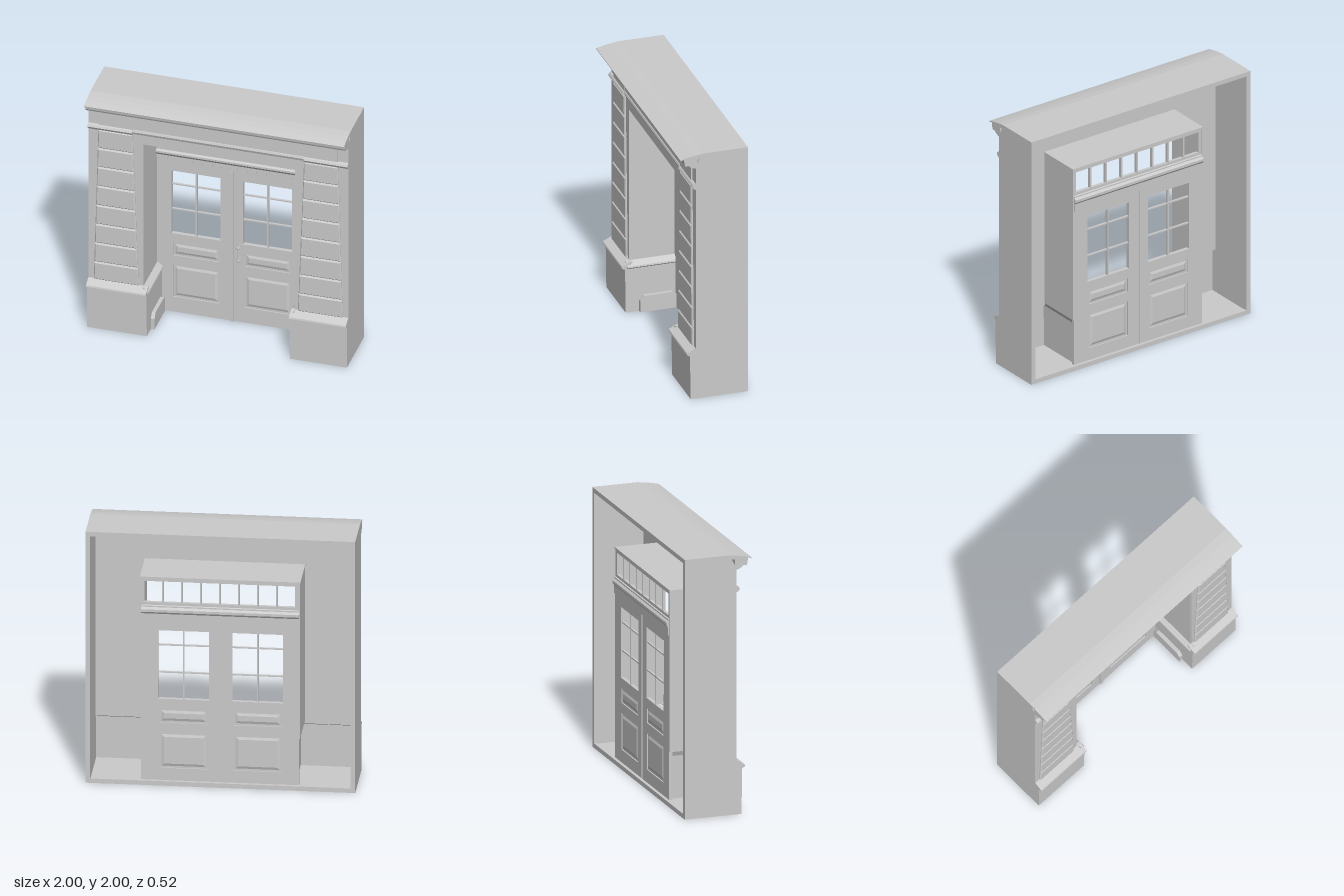
import * as THREE from 'three';

const mat = new THREE.MeshStandardMaterial({ color: 0xcccccc, side: THREE.DoubleSide });
const CX = 0.005; // centre of the doorway

function add(group, name, geo) {
  const mesh = new THREE.Mesh(geo, mat);
  mesh.name = name;
  group.add(mesh);
  return mesh;
}

// box given by its limits
function box(group, name, x0, x1, y0, y1, z0, z1) {
  const geo = new THREE.BoxGeometry(Math.abs(x1 - x0), y1 - y0, z1 - z0);
  return add(group, name, geo.translate((x0 + x1) / 2, (y0 + y1) / 2, (z0 + z1) / 2));
}

const polygon = pts => new THREE.Shape(pts.map(p => new THREE.Vector2(p[0], p[1])));
const rect = (x0, x1, y0, y1) => [[x0, y0], [x1, y0], [x1, y1], [x0, y1]];

// flat plate in the xy plane with holes
function plate(group, name, outline, holes, z0, z1) {
  const shape = polygon(outline);
  holes.forEach(h => shape.holes.push(polygon(h)));
  const geo = new THREE.ExtrudeGeometry(shape, { depth: z1 - z0, bevelEnabled: false });
  return add(group, name, geo.translate(0, 0, z0));
}

// profile of [z, y] points drawn out along x
function sweepX(group, name, profile, x0, x1) {
  const geo = new THREE.ExtrudeGeometry(polygon(profile), { depth: x1 - x0, bevelEnabled: false });
  return add(group, name, geo.rotateY(-Math.PI / 2).translate(x1, 0, 0));
}

// block with chamfered edges; the outline is its full size
function chamferBlock(group, name, outline, z0, z1, bevel, chamfer = bevel) {
  const geo = new THREE.ExtrudeGeometry(polygon(outline), {
    depth: z1 - z0 - 2 * bevel, bevelThickness: bevel, bevelSize: chamfer, bevelOffset: -chamfer, bevelSegments: 1,
  });
  return add(group, name, geo.translate(0, 0, z0 + bevel));
}

function buildShell(g) {
  // side walls follow the plinth and wall line
  const side = [[-0.26, 0], [0.18, 0], [0.18, 0.36], [0.145, 0.41], [0.145, 1.9], [0.1, 1.98], [-0.26, 1.98]];
  sweepX(g, 'leftWall', side, 0.965, 1);
  sweepX(g, 'rightWall', side, -1, -0.965);
  // curved roof with its cornice
  sweepX(g, 'roofCornice', [
    [-0.26, 2], [0.09, 2], [0.15, 1.993], [0.21, 1.982], [0.265, 1.968], [0.263, 1.96], [0.238, 1.968],
    [0.23, 1.925], [0.222, 1.91], [0.205, 1.915], [0.185, 1.9], [0.165, 1.89], [0.15, 1.885],
    [0.135, 1.885], [0.135, 1.965], [-0.26, 1.965]], -1, 1);
  box(g, 'rearSill', -0.965, 0.965, 0, 0.035, -0.26, -0.235);
  // front wall with the tall doorway cut out
  const w = 0.585;
  plate(g, 'frontWall', [[-0.99, 0.38], [CX - w, 0.38], [CX - w, 1.64], [CX + w, 1.64],
    [CX + w, 0.38], [0.99, 0.38], [0.99, 1.9], [-0.99, 1.9]], [], 0.13, 0.145);
  box(g, 'frieze', -0.66, 0.66, 1.755, 1.89, 0.14, 0.15);
  sweepX(g, 'friezeMoulding', [[0.14, 1.715], [0.152, 1.72], [0.16, 1.74], [0.155, 1.755], [0.14, 1.76]], -0.66, 0.66);
}

function buildPier(g, s) {
  const span = (a, b) => [Math.min(s * a, s * b), Math.max(s * a, s * b)];
  const inner = 0.55 + s * 0.01;

  // tapered courses of rusticated stone
  const cuts = [0.405, 0.56, 0.725, 0.89, 1.055, 1.222, 1.388, 1.552, 1.715];
  const taper = y => (y - 0.405) / 1.31;
  for (let i = 0; i < cuts.length - 1; i++) {
    const y0 = cuts[i] + 0.003, y1 = cuts[i + 1] - 0.003;
    const outX = y => s * (0.957 - 0.035 * taper(y)), inX = y => s * (0.613 + 0.047 * taper(y));
    chamferBlock(g, 'stoneCourse', [[outX(y0), y0], [inX(y0), y0], [inX(y1), y1], [outX(y1), y1]], 0.135, 0.16, 0.008);
  }

  // band and head block above the courses
  sweepX(g, 'pierMoulding', [[0.14, 1.71], [0.16, 1.715], [0.172, 1.735], [0.165, 1.75], [0.155, 1.76], [0.14, 1.76]], ...span(0.66, 1));
  box(g, 'pierHead', ...span(0.66, 0.92), 1.755, 1.89, 0.14, 0.157);

  // plinth shell with sloping cap
  sweepX(g, 'plinth', [[0.185, 0], [0.19, 0.35], [0.215, 0.366], [0.212, 0.378], [0.15, 0.41],
    [0.13, 0.41], [0.17, 0.36], [0.17, 0]], ...span(inner, 1));
  box(g, 'plinthFloor', ...span(inner, 0.97), 0, 0.03, -0.25, 0.18);
  plate(g, 'plinthReturn', [[s * inner, 0], [s * inner, 0.355], [s * (inner - 0.012), 0.366],
    [s * (inner - 0.01), 0.378], [s * (inner + 0.03), 0.41], [s * (inner + 0.035), 0.41],
    [s * (inner + 0.015), 0.36], [s * (inner + 0.012), 0]], [], -0.23, 0.175);

  // guard stone low on the reveal
  const guard = sweepX(g, 'guardStone', [[-0.2, 0], [0.08, 0], [0.08, 0.09], [0.05, 0.13], [-0.17, 0.13], [-0.2, 0.11]],
    ...span(inner - 0.028, inner + 0.005));
  guard.castShadow = false;

  // reveal wall and the strip beside the door
  const r = 0.58 + s * CX;
  box(g, 'revealWall', ...span(r, r + 0.012), 0.4, 1.64, -0.23, 0.14);
  box(g, 'doorJamb', ...span(inner - 0.012, r + 0.005), 0, 1.31, -0.23, -0.205);
}

// recessed panel with a raised field, the same on both faces
function buildPanel(g, x0, x1, y0, y1) {
  box(g, 'panelBack', x0, x1, y0, y1, -0.221, -0.209);
  chamferBlock(g, 'panelField', rect(x0 + 0.012, x1 - 0.012, y0 + 0.012, y1 - 0.012), -0.228, -0.202, 0.008, 0.022);
}

function buildDoor(name, x0, x1, wx0, wx1) {
  const g = new THREE.Group();
  g.name = name;
  const px0 = wx0 + 0.01, px1 = wx1 - 0.01;
  const panels = [[px0, px1, 0.13, 0.41], [px0, px1, 0.49, 0.6]];
  plate(g, 'doorLeaf', rect(x0, x1, 0, 1.305),
    [rect(wx0, wx1, 0.68, 1.225), ...panels.map(p => rect(...p))], -0.23, -0.2);
  panels.forEach(p => buildPanel(g, ...p));
  // glazing bars
  const mid = (wx0 + wx1) / 2;
  box(g, 'verticalBar', mid - 0.006, mid + 0.006, 0.68, 1.225, -0.225, -0.205);
  for (const y of [0.89, 1.107]) box(g, 'horizontalBar', wx0, wx1, y - 0.005, y + 0.005, -0.223, -0.207);
  return g;
}

function buildHandle() {
  const g = new THREE.Group();
  g.name = 'handle';
  add(g, 'grip', new THREE.CylinderGeometry(0.007, 0.007, 0.13, 10).translate(0.06, 0.605, -0.165));
  for (const y of [0.55, 0.66]) {
    add(g, 'mount', new THREE.CylinderGeometry(0.006, 0.006, 0.04, 8).rotateX(Math.PI / 2).translate(0.06, y, -0.183));
    add(g, 'rosette', new THREE.CylinderGeometry(0.018, 0.018, 0.008, 12).rotateX(Math.PI / 2).translate(0.06, y, -0.198));
    add(g, 'knob', new THREE.SphereGeometry(0.012, 10, 8).translate(0.06, y, -0.165));
  }
  return g;
}

function buildTransom() {
  const g = new THREE.Group();
  g.name = 'transom';
  // row of eight open panes
  const panes = [], pitch = 1.13 / 8;
  for (let i = 0; i < 8; i++) {
    const x = -0.557 + i * pitch;
    panes.push(rect(x + 0.006, x + pitch - 0.006, 1.445, 1.612));
  }
  plate(g, 'transomFrame', rect(-0.577, 0.588, 1.405, 1.64), panes, -0.225, -0.2);
  sweepX(g, 'transomSill', [[-0.235, 1.42], [-0.195, 1.435], [-0.185, 1.425], [-0.185, 1.405], [-0.235, 1.405]], -0.58, 0.59);
  // moulded lintel between doors and transom
  sweepX(g, 'lintel', [[-0.24, 1.3], [-0.195, 1.3], [-0.195, 1.325], [-0.18, 1.335], [-0.18, 1.365],
    [-0.165, 1.385], [-0.165, 1.4], [-0.19, 1.41], [-0.235, 1.41], [-0.25, 1.395], [-0.25, 1.375], [-0.24, 1.36]], -0.58, 0.59);
  box(g, 'revealCeiling', -0.59, 0.6, 1.635, 1.647, -0.23, 0.14);
  return g;
}

export function createModel() {
  const root = new THREE.Group();
  root.name = 'entrance';

  const shell = new THREE.Group();
  shell.name = 'shell';
  buildShell(shell);
  root.add(shell);

  for (const s of [1, -1]) {
    const pier = new THREE.Group();
    pier.name = s > 0 ? 'leftPier' : 'rightPier';
    buildPier(pier, s);
    root.add(pier);
  }

  root.add(buildDoor('rightDoor', -0.535, -0.012, -0.462, -0.085));
  root.add(buildDoor('leftDoor', 0.014, 0.553, 0.087, 0.465));
  box(root, 'meetingPost', -0.014, 0.014, 0, 1.305, -0.225, -0.19);
  root.add(buildHandle(), buildTransom());
  return root;
}
